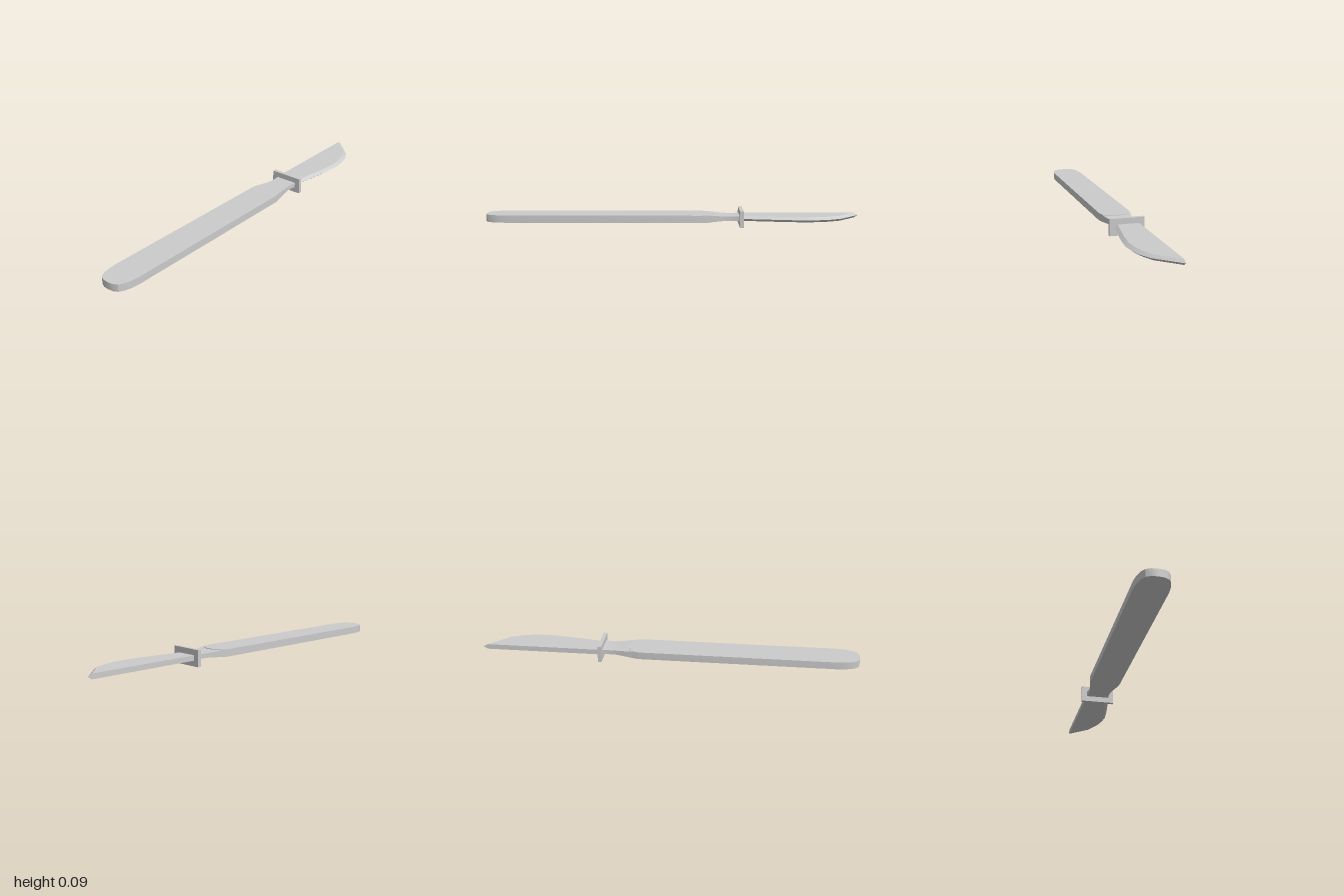
import * as THREE from 'three';
import { toCreasedNormals } from 'three/addons/utils/BufferGeometryUtils.js';

const MID_Y = 0.0435;   // height of the flat centre plane
const MID_X = -0.0115;  // centre line of handle and guard
const material = new THREE.MeshStandardMaterial({ color: 0xcccccc });

function addMesh(group, name, geometry) {
  const mesh = new THREE.Mesh(geometry, material);
  mesh.name = name;
  group.add(mesh);
  return mesh;
}

// Skins rings (clockwise seen from +z, running towards -z) and caps both ends
function loft(rings, crease) {
  const n = rings[0].length, pos = [];
  const tri = (...points) => points.forEach((p) => pos.push(...p));
  for (let i = 0; i < rings.length - 1; i++) {
    for (let j = 0; j < n; j++) {
      const k = (j + 1) % n;
      const a = rings[i][j], b = rings[i][k], c = rings[i + 1][k], d = rings[i + 1][j];
      tri(a, b, c);
      tri(a, c, d);
    }
  }
  const first = rings[0], last = rings[rings.length - 1];
  for (let j = 1; j < n - 1; j++) {
    tri(first[0], first[j + 1], first[j]);
    tri(last[0], last[j], last[j + 1]);
  }
  const geometry = new THREE.BufferGeometry();
  geometry.setAttribute('position', new THREE.Float32BufferAttribute(pos, 3));
  return toCreasedNormals(geometry, crease);
}

// Flat slab with a rounded butt and a shallow arc where the neck emerges
function handleGeometry() {
  const half = [ // [half width, z] from butt to neck
    [0, 1], [0.03, 0.997], [0.053, 0.985], [0.068, 0.96], [0.077, 0.925], [0.082, 0.88],
    [0.082, -0.15], [0.074, -0.19], [0.05, -0.204], [0.025, -0.211], [0, -0.214],
  ];
  const mirrored = half.slice(1, -1).reverse().map(([w, z]) => [-w, z]);
  const outline = [...half, ...mirrored].map(([w, z]) => new THREE.Vector2(MID_X + w, -z));
  const geometry = new THREE.ExtrudeGeometry(new THREE.Shape(outline), { depth: 0.039, bevelEnabled: false });
  geometry.rotateX(-Math.PI / 2).translate(0, MID_Y - 0.0195, 0);
  return toCreasedNormals(geometry, 0.5);
}

// Waisted rectangular neck between handle and guard
function neckGeometry() {
  const stations = [ // [z, half width, half height]
    [-0.15, 0.077, 0.0185], [-0.2, 0.073, 0.0175], [-0.25, 0.064, 0.0135],
    [-0.29, 0.058, 0.0115], [-0.33, 0.058, 0.012], [-0.36, 0.063, 0.0145],
  ];
  return loft(stations.map(([z, w, h]) => [[-w, h], [w, h], [w, -h], [-w, -h]]
    .map(([x, y]) => [MID_X + x, MID_Y + y, z])), 0.6);
}

// Straight flat spine, curved belly ground to an edge
function bladeGeometry() {
  const spine = -0.074, h = 0.0135;
  const stations = [ // [bevel x, bevel z, edge x, edge z]
    [0.035, -0.36, 0.055, -0.36], [0.07, -0.58, 0.089, -0.59], [0.079, -0.68, 0.099, -0.69],
    [0.075, -0.75, 0.093, -0.76], [0.061, -0.81, 0.077, -0.825], [0.032, -0.878, 0.043, -0.89],
    [spine, -0.978, spine, -1],
  ];
  return loft(stations.map(([bx, bz, ex, ez]) => [
    [spine, MID_Y + h, bz], [bx, MID_Y + h, bz], [ex, MID_Y, ez],
    [bx, MID_Y - h, bz], [spine, MID_Y - h, bz],
  ]), 0.35);
}

export function createModel() {
  const group = new THREE.Group();
  group.name = 'knife';
  addMesh(group, 'handle', handleGeometry());
  addMesh(group, 'neck', neckGeometry());
  addMesh(group, 'guard', new THREE.BoxGeometry(0.181, 0.087, 0.02)).position.set(MID_X, MID_Y, -0.361);
  addMesh(group, 'blade', bladeGeometry());
  return group;
}
